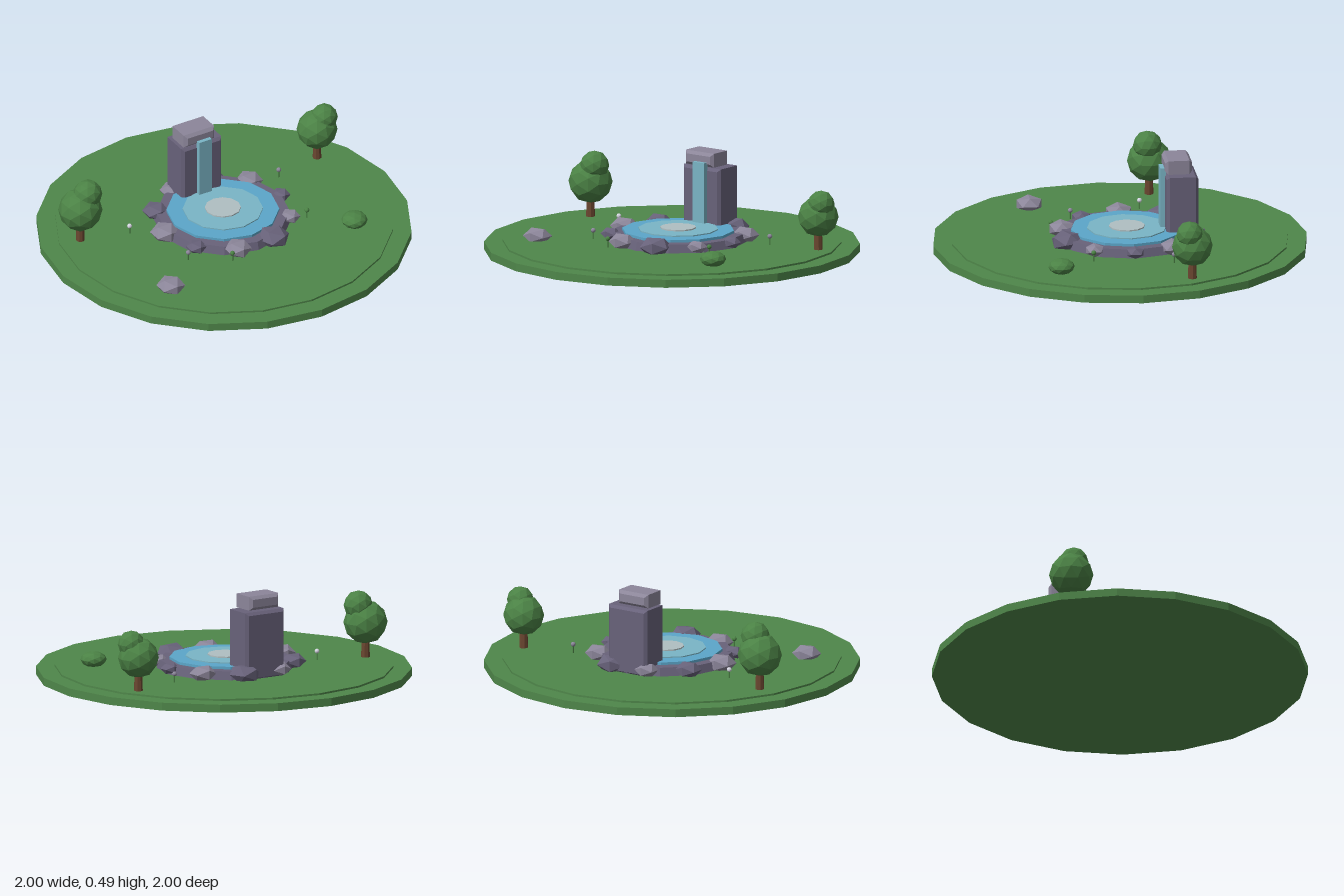
import * as THREE from 'three';

const mat = (name, color) => {
  const m = new THREE.MeshStandardMaterial({ color, flatShading: true });
  m.name = name;
  return m;
};

export function createModel() {
  const grass = mat('grass', 0x4f874a);
  const leaf = mat('leaf', 0x4b8245);
  const bark = mat('bark', 0x6b4630);
  const darkStone = mat('darkStone', 0x68627a);
  const lightStone = mat('lightStone', 0x8c869a);
  const water = mat('water', 0x5ba6c9);
  const paleWater = mat('paleWater', 0x7ab5c6);
  const foam = mat('foam', 0xb0bfc2);
  const white = mat('whitePetal', 0xd6d6e2);

  const model = new THREE.Group();
  model.name = 'waterfallPond';

  const add = (name, geometry, material, x, y, z, parent = model) => {
    const mesh = new THREE.Mesh(geometry, material);
    mesh.name = name;
    mesh.position.set(x, y, z);
    parent.add(mesh);
    return mesh;
  };
  // Disc standing between two heights
  const disc = (name, rTop, rBottom, y0, y1, sides, material, x = 0, z = 0, parent = model) =>
    add(name, new THREE.CylinderGeometry(rTop, rBottom, y1 - y0, sides), material, x, (y0 + y1) / 2, z, parent);
  // Faceted ball, squashed by sy
  const blob = (name, r, detail, sy, material, x, y, z, parent = model) => {
    const mesh = add(name, new THREE.IcosahedronGeometry(r, detail), material, x, y, z, parent);
    mesh.scale.y = sy;
    return mesh;
  };
  // Box with chamfered edges: extruded octagon with a one-step bevel
  const chamferBox = (w, h, d, c) => {
    const x = w / 2 - c, y = h / 2 - c;
    const shape = new THREE.Shape([
      new THREE.Vector2(-x, -y), new THREE.Vector2(x, -y),
      new THREE.Vector2(x, y), new THREE.Vector2(-x, y),
    ]);
    const g = new THREE.ExtrudeGeometry(shape, {
      depth: d - 2 * c, bevelEnabled: true, bevelSize: c, bevelThickness: c, bevelSegments: 1,
    });
    return g.translate(0, 0, -(d - 2 * c) / 2);
  };

  // Ground: wide slab with a thin lawn on top
  disc('groundSlab', 1, 1, 0, 0.043, 20, grass);
  disc('lawn', 0.9, 0.9, 0.04, 0.053, 20, grass);

  // Pond: rim, water and ripples
  const px = 0.014, pz = -0.035;
  const pond = new THREE.Group();
  pond.name = 'pond';
  model.add(pond);
  disc('pondRim', 0.355, 0.37, 0.045, 0.098, 12, darkStone, px, pz, pond);
  disc('pondWater', 0.3, 0.3, 0.09, 0.112, 12, water, px, pz, pond);
  disc('ripple', 0.214, 0.214, 0.11, 0.118, 12, paleWater, px, pz, pond);
  disc('foam', 0.096, 0.096, 0.116, 0.125, 12, foam, px, pz, pond);

  // Ring of stones, alternating light and dark
  const sizes = [0.052, 0.056, 0.088, 0.075, 0.056, 0.08, 0.072, 0.066, 0.088, 0.074];
  sizes.forEach((r, i) => {
    const a = (i * Math.PI) / 5;
    const stone = blob('rimStone', r, 0, 0.62, i % 2 ? lightStone : darkStone,
      px + 0.36 * Math.cos(a), 0.085, pz + 0.355 * Math.sin(a), pond);
    stone.rotation.y = r > 0.085 ? 0.4 : 0;
  });

  // Waterfall tower with cap
  add('tower', chamferBox(0.25, 0.37, 0.17, 0.015), darkStone, 0.01, 0.23, -0.32);
  add('towerCap', chamferBox(0.19, 0.075, 0.145, 0.016), lightStone, -0.005, 0.457, -0.305);
  add('waterfall', new THREE.BoxGeometry(0.078, 0.345, 0.03), paleWater, 0.013, 0.272, -0.225);

  // Trees: trunk and two crowns
  const tree = (x, z, y, r, x2, y2, z2, r2) => {
    const g = new THREE.Group();
    g.name = 'tree';
    model.add(g);
    disc('trunk', 0.02, 0.024, 0.05, 0.17, 8, bark, x, z, g);
    blob('crown', r, 1, 1, leaf, x, y, z, g);
    blob('upperCrown', r2, 1, 1, leaf, x2, y2, z2, g);
  };
  tree(-0.743, -0.248, 0.243, 0.118, -0.705, 0.337, -0.235, 0.078);
  tree(0.757, -0.293, 0.232, 0.109, 0.791, 0.307, -0.275, 0.072);

  // Loose rock and bush on the lawn
  blob('looseRock', 0.078, 0, 0.6, lightStone, -0.583, 0.073, 0.415);
  blob('bush', 0.07, 1, 0.6, leaf, 0.577, 0.088, 0.385);

  // Small flowers
  const flowers = [
    [-0.487, -0.165, white], [-0.357, 0.222, lightStone], [-0.16, 0.35, leaf],
    [0.4, 0.19, leaf], [0.48, -0.23, lightStone],
  ];
  for (const [x, z, petal] of flowers) {
    const g = new THREE.Group();
    g.name = 'flower';
    model.add(g);
    disc('stem', 0.004, 0.004, 0.05, 0.1, 5, leaf, x, z, g);
    blob('bloom', 0.013, 1, 1, petal, x, 0.1, z, g);
  }
  return model;
}
